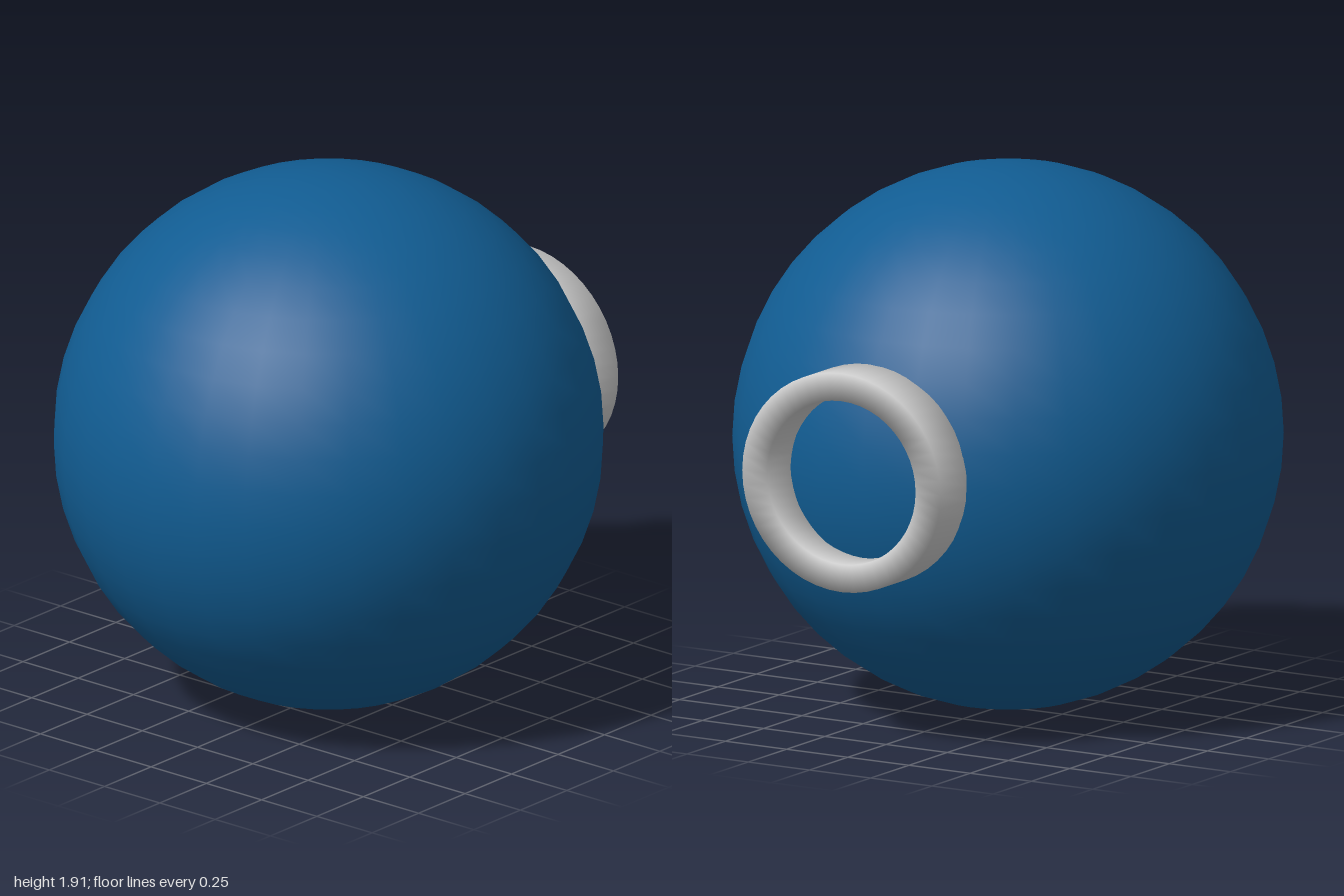
import * as THREE from 'three';
import { mergeVertices } from 'three/addons/utils/BufferGeometryUtils.js';

// Square-section ring around the z axis, softly shaded across its edges
function squareRing(outer, inner, depth, segments) {
  const geo = new THREE.TorusGeometry(1, 0.2, 4, segments);
  const pos = geo.attributes.position;
  for (let i = 0; i < pos.count; i++) {
    const corner = Math.floor(i / (segments + 1)) % 4;
    const angle = ((i % (segments + 1)) / segments) * Math.PI * 2;
    const r = corner === 0 || corner === 3 ? outer : inner;
    const z = corner < 2 ? depth / 2 : -depth / 2;
    pos.setXYZ(i, r * Math.cos(angle), r * Math.sin(angle), z);
  }
  geo.deleteAttribute('uv');
  geo.deleteAttribute('normal');
  const merged = mergeVertices(geo, 1e-4);
  merged.computeVertexNormals();
  return merged;
}

export function createModel() {
  const model = new THREE.Group();
  model.name = 'ballWithRing';

  // Large ball
  const ball = new THREE.Mesh(
    new THREE.SphereGeometry(0.955, 32, 24),
    new THREE.MeshStandardMaterial({ color: 0x115c92 })
  );
  ball.name = 'ball';
  ball.position.set(-0.045, 0.957, 0);
  model.add(ball);

  // Open collar on the +x side, slightly wider than tall
  const collar = new THREE.Mesh(
    squareRing(0.405, 0.303, 0.185, 48),
    new THREE.MeshStandardMaterial({ color: 0xcccccc })
  );
  collar.name = 'collarRing';
  collar.scale.y = 0.955;
  collar.rotation.y = Math.PI / 2;
  collar.position.set(0.9075, 0.97, 0.026);
  model.add(collar);

  return model;
}
